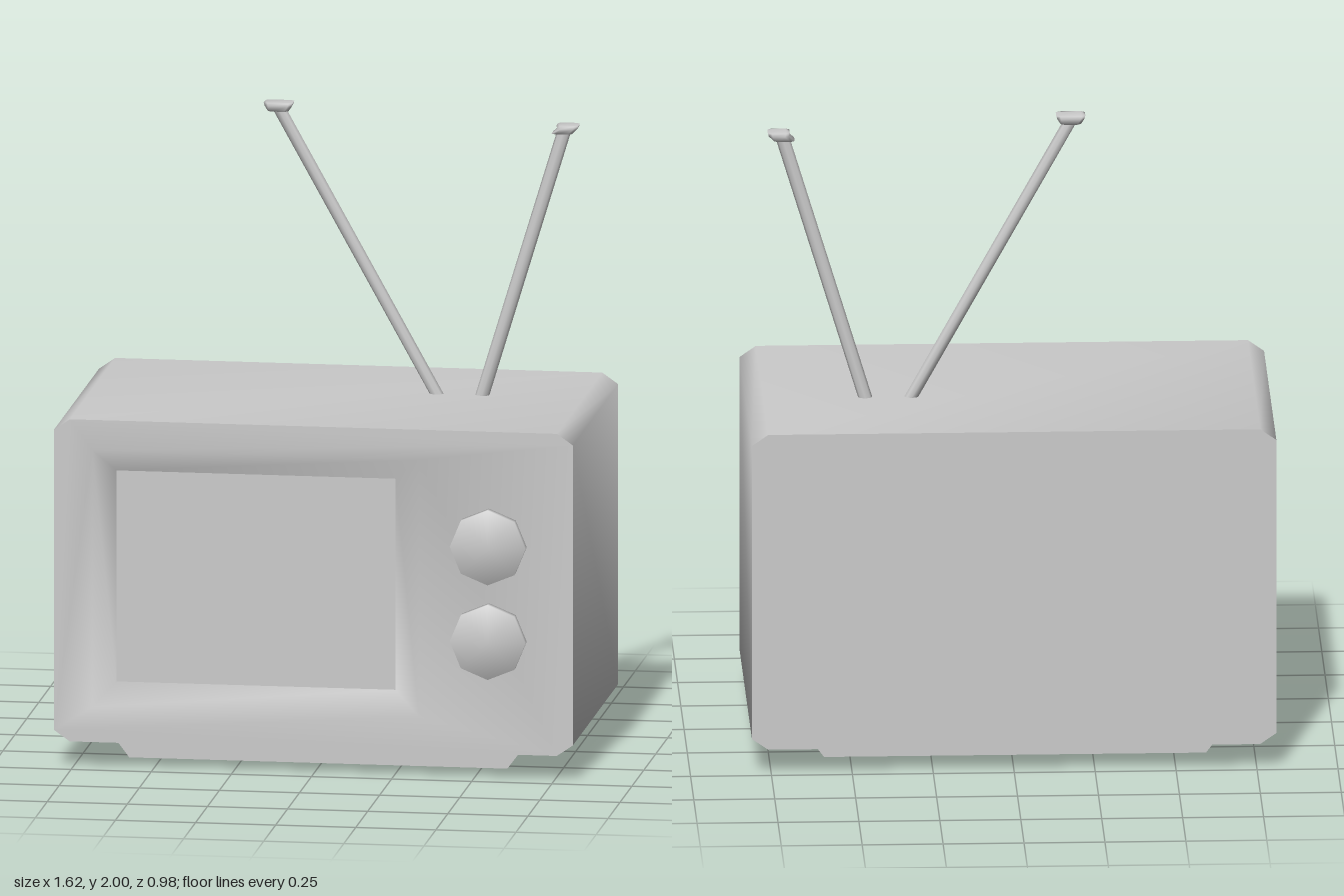
import * as THREE from 'three';
import { mergeGeometries, mergeVertices, toCreasedNormals } from 'three/addons/utils/BufferGeometryUtils.js';

const material = new THREE.MeshStandardMaterial({ color: 0xcccccc });

// Counter-clockwise rectangle seen from +z, optionally with cut corners
function rect(x0, x1, y0, y1, z, cx = 0, cy = 0) {
  const p = (x, y) => new THREE.Vector3(x, y, z);
  if (!cx) return [p(x0, y0), p(x1, y0), p(x1, y1), p(x0, y1)];
  return [p(x0 + cx, y0), p(x1 - cx, y0), p(x1, y0 + cy), p(x1, y1 - cy),
    p(x1 - cx, y1), p(x0 + cx, y1), p(x0, y1 - cy), p(x0, y0 + cy)];
}

// Skin through equal-sized rings, with optional flat ends
function loft(rings, capStart, capEnd) {
  const pos = [];
  const tri = (...pts) => pts.forEach((v) => pos.push(v.x, v.y, v.z));
  const n = rings[0].length;
  for (let r = 0; r < rings.length - 1; r++) {
    const a = rings[r], b = rings[r + 1];
    for (let i = 0; i < n; i++) {
      const j = (i + 1) % n;
      tri(a[i], a[j], b[j]);
      tri(a[i], b[j], b[i]);
    }
  }
  const first = rings[0], last = rings[rings.length - 1];
  for (let i = 1; i < n - 1; i++) {
    if (capStart) tri(first[0], first[i + 1], first[i]);
    if (capEnd) tri(last[0], last[i], last[i + 1]);
  }
  const g = new THREE.BufferGeometry();
  g.setAttribute('position', new THREE.Float32BufferAttribute(pos, 3));
  g.computeVertexNormals();
  return g;
}

// Share all corners so the shading rolls softly over the edges
function soften(g) {
  g.deleteAttribute('normal');
  g.deleteAttribute('uv');
  const merged = mergeVertices(g);
  merged.computeVertexNormals();
  return merged;
}

export function createModel() {
  const model = new THREE.Group();
  const add = (name, geometry) => {
    const mesh = new THREE.Mesh(geometry, material);
    mesh.name = name;
    model.add(mesh);
    return mesh;
  };

  // Cabinet: cut-corner box whose front slopes in to the screen
  const outline = (z) => rect(-0.81, 0.81, 0.08, 1.095, z, 0.05, 0.035);
  const opening = rect(-0.69, 0.33, 0.19, 1.0, 0.46);
  const screenRim = rect(-0.62, 0.25, 0.265, 0.93, 0.42);
  const face = new THREE.Shape(outline(0).map((v) => new THREE.Vector2(v.x, v.y)));
  face.holes.push(new THREE.Path(opening.map((v) => new THREE.Vector2(v.x, v.y))));
  const front = new THREE.ShapeGeometry(face).toNonIndexed();
  front.deleteAttribute('uv');
  front.translate(0, 0, 0.46);
  const shell = loft([outline(-0.49), outline(0.46)], true, false);
  const bezel = loft([opening, screenRim], false, false);
  add('cabinet', toCreasedNormals(mergeGeometries([shell, front, bezel]), 1.1));

  // Sunken screen
  add('screen', new THREE.PlaneGeometry(0.87, 0.665)).position.set(-0.185, 0.5975, 0.42);

  // Base tapering towards the ground
  const baseRing = (z) => [[-0.6, 0], [0.58, 0], [0.64, 0.08], [-0.66, 0.08]]
    .map(([x, y]) => new THREE.Vector3(x, y, z));
  add('base', loft([baseRing(-0.31), baseRing(0.29)], true, true));

  // Eight-sided knobs
  for (const [name, y] of [['upperKnob', 0.735], ['lowerKnob', 0.437]]) {
    const g = new THREE.CylinderGeometry(0.118, 0.118, 0.04, 8);
    g.rotateX(Math.PI / 2);
    add(name, soften(g)).position.set(0.548, y, 0.47);
  }

  // Antennas: leaning rods, cut level at both ends, with small flared tips
  const antennas = [
    { name: 'rightAntenna', from: [0.31, 1.08], to: [-0.19, 1.98], tip: [-0.19, -0.19], top: 2.0, flare: 0.045 },
    { name: 'leftAntenna', from: [0.44, 1.08], to: [0.7, 1.935], tip: [0.695, 0.712], top: 1.955, flare: 0.034 },
  ];
  for (const { name, from, to, tip, top, flare } of antennas) {
    const ring = ([x, y], rx, rz) => Array.from({ length: 8 }, (_, i) => {
      const a = (i / 8) * Math.PI * 2;
      return new THREE.Vector3(x + rx * Math.cos(a), y, -0.097 - rz * Math.sin(a));
    });
    add(name, toCreasedNormals(loft([ring(from, 0.022, 0.016), ring(to, 0.022, 0.016)], true, true), 1.1));

    const plate = (x, y, hx) => rect(x - hx, x + hx, -0.03, 0.03, 0, 0.012, 0.01)
      .map((v) => new THREE.Vector3(v.x, y, -0.097 - v.y));
    add(name + 'Tip', soften(loft([plate(tip[0], top - 0.026, 0.032),
      plate(tip[1], top - 0.01, flare - 0.003), plate(tip[1], top, flare)], true, true)));
  }

  return model;
}
